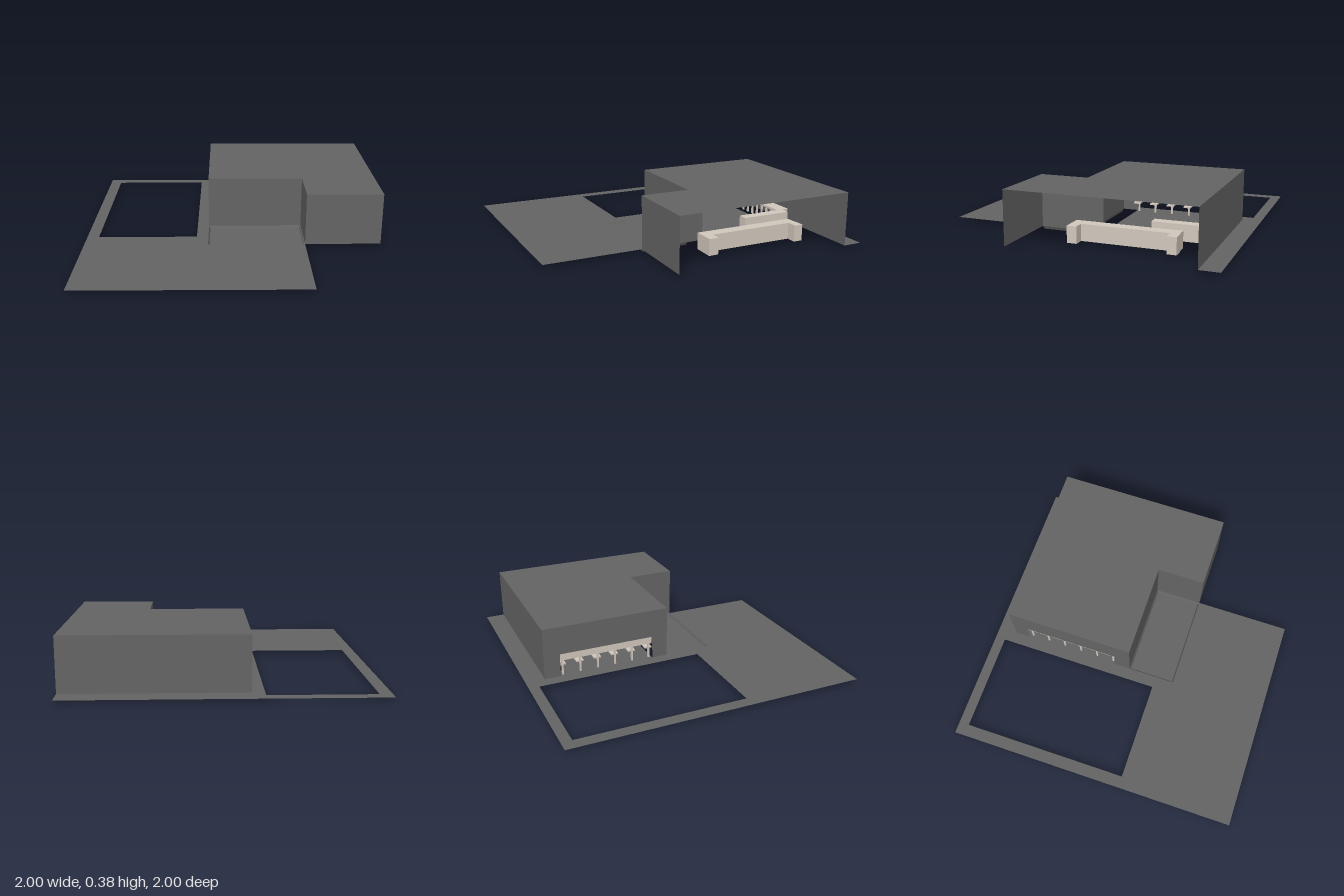
import * as THREE from 'three';

const GROUND = 0.02, ROOF = 0.375;

export function createModel() {
  const group = new THREE.Group();
  const grey = new THREE.MeshStandardMaterial({ color: 0x646464, side: THREE.DoubleSide });
  grey.name = 'dark grey';
  const beige = new THREE.MeshStandardMaterial({ color: 0xd2c8bd });
  beige.name = 'beige';

  const add = (name, geometry, material) => {
    const mesh = new THREE.Mesh(geometry, material);
    mesh.name = name;
    group.add(mesh);
    return mesh;
  };
  const outline = (pts, Type = THREE.Shape) => new Type(pts.map(([a, b]) => new THREE.Vector2(a, b)));
  const rect = (x0, z0, x1, z1) => [[x0, z0], [x1, z0], [x1, z1], [x0, z1]];
  // horizontal sheet from x,z points
  const sheet = (name, pts, y, holes = []) => {
    const flip = (list) => list.map(([x, z]) => [x, -z]);
    const shape = outline(flip(pts));
    shape.holes = holes.map((h) => outline(flip(h), THREE.Path));
    add(name, new THREE.ShapeGeometry(shape).rotateX(-Math.PI / 2).translate(0, y, 0), grey);
  };
  // upright sheet across x
  const wallX = (name, x0, x1, z) => {
    const g = new THREE.PlaneGeometry(x1 - x0, ROOF - GROUND);
    add(name, g.translate((x0 + x1) / 2, (ROOF + GROUND) / 2, z), grey);
  };
  // upright sheet along z from z,y points
  const wallZ = (name, x, pts) => {
    const g = new THREE.ShapeGeometry(outline(pts.map(([z, y]) => [-z, y])));
    add(name, g.rotateY(Math.PI / 2).translate(x, 0, 0), grey);
  };
  const box = (name, x0, x1, y0, y1, z0, z1) => {
    const g = new THREE.BoxGeometry(x1 - x0, y1 - y0, z1 - z0);
    add(name, g.translate((x0 + x1) / 2, (y0 + y1) / 2, (z0 + z1) / 2), beige);
  };

  // ground sheet with the large opening and the recess by the entrance
  sheet('ground', [[-1, 1], [0.49, 1], [0.49, -0.72], [-0.1, -0.72], [-0.1, -0.87], [1, -0.87], [1, -1], [-1, -1]],
    GROUND, [rect(-0.92, -0.93, -0.245, 0.21), rect(-0.165, -0.1, 0.485, 0.34)]);

  // shallow entrance basin with sloping sides
  const top = rect(-0.165, 0.01, 0.49, 0.34), low = rect(-0.155, 0.02, 0.48, 0.33);
  sheet('basinFloor', low, 0);
  const rim = [];
  for (let i = 0; i < 4; i++) {
    const j = (i + 1) % 4;
    const at = ([x, z], y) => [x, y, z];
    const a = at(top[i], GROUND), b = at(top[j], GROUND), c = at(low[j], 0), d = at(low[i], 0);
    rim.push(...a, ...d, ...b, ...b, ...d, ...c);
  }
  const rimGeometry = new THREE.BufferGeometry();
  rimGeometry.setAttribute('position', new THREE.Float32BufferAttribute(rim, 3));
  rimGeometry.computeVertexNormals();
  add('basinSides', rimGeometry, grey);

  // building shell, open on its left side
  sheet('roof', [[-0.165, -0.87], [1, -0.87], [1, 0.34], [0.49, 0.34], [0.49, 0.01], [-0.165, 0.01]], ROOF);
  wallX('backWall', -0.165, 1, -0.87);
  wallX('frontWall', 0.49, 1, 0.34);
  wallX('entranceWall', -0.165, 0.49, 0.01);
  wallZ('innerWall', 0.49, [[0.34, GROUND], [-0.1, GROUND], [-0.1, ROOF], [0.34, ROOF]]);
  wallZ('sideWall', -0.165, [[0.01, GROUND], [-0.1, GROUND], [-0.1, 0.18], [-0.76, 0.18],
    [-0.76, GROUND], [-0.87, GROUND], [-0.87, ROOF], [0.01, ROOF]]);

  // counters with projecting ends
  box('longCounter', 0.64, 0.72, GROUND, 0.13, -0.68, 0.02);
  box('counterEndFront', 0.72, 0.79, GROUND, 0.13, -0.045, 0.02);
  box('counterEndBack', 0.72, 0.79, GROUND, 0.13, -0.685, -0.625);
  box('shortCounter', 0.43, 0.5, GROUND, 0.13, -0.78, -0.43);

  // rail and posts in the side opening
  box('openingRail', -0.15, -0.135, 0.125, 0.18, -0.76, -0.1);
  for (let i = 0; i < 6; i++) {
    const z = -0.74 + i * 0.124;
    box('openingPost', -0.148, -0.137, GROUND, 0.125, z - 0.006, z + 0.006);
    box('openingSeat', -0.137, -0.09, 0.085, 0.095, z - 0.025, z + 0.025);
  }

  // shelf and posts along the back
  box('backShelf', -0.1, 0.43, 0.115, 0.13, -0.83, -0.74);
  for (let i = 0; i < 9; i++) {
    const x = -0.08 + i * 0.06;
    box('shelfPost', x - 0.006, x + 0.006, GROUND, 0.115, -0.76, -0.748);
  }
  return group;
}
